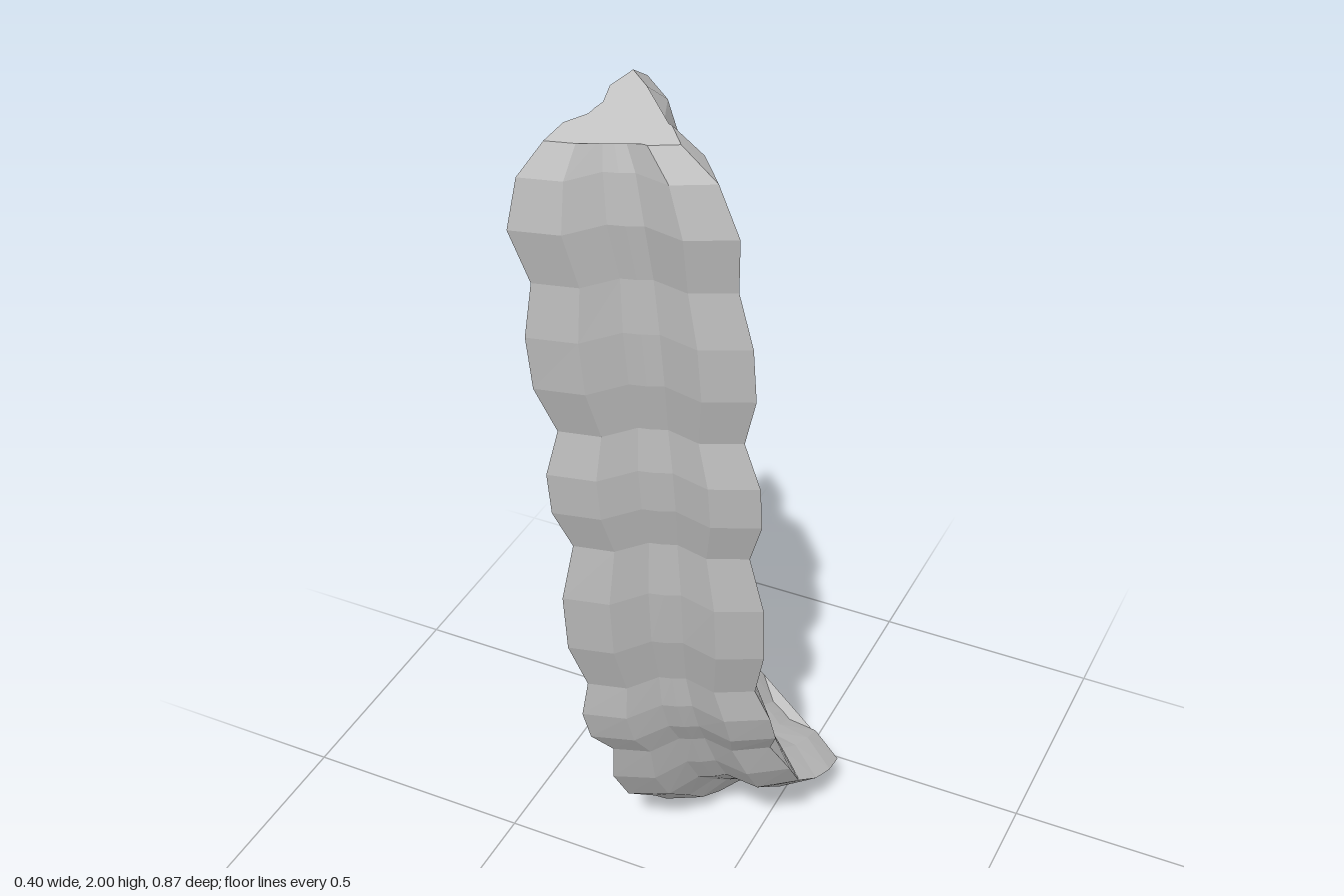
import * as THREE from 'three';

// Pinched stations along the stalk: x, y, z, lean and twist (degrees), radius
const stations = [
  [-0.066, 0.143, -0.362, 64, 2, 0.188],
  [-0.077, 0.248, -0.188, 45, 7, 0.188],
  [-0.06, 0.508, -0.014, 25, 11, 0.184],
  [-0.05, 0.744, 0.078, 19, 14, 0.187],
  [-0.022, 1.122, 0.157, 10, 15, 0.183],
  [-0.011, 1.404, 0.208, 9.5, 15, 0.183],
  [-0.006, 1.725, 0.263, 8.5, 14, 0.19],
];
// Rounded shoulder and blunt tip
const tip = [
  [-0.011, 1.835, 0.283, 9, 14, 0.208],
  [-0.014, 1.925, 0.298, 10, 14, 0.178],
  [-0.018, 1.976, 0.314, 11, 14, 0.12],
];
// Profile of one lobe, repeated three times around
const lobe = [1, 0.7, 0.41, 0.395, 0.41, 0.7];
const SIDES = lobe.length * 3;

// Two swollen rings between each pair of pinched stations
function buildRings() {
  const path = new THREE.CatmullRomCurve3(
    stations.map(s => new THREE.Vector3(s[0], s[1], s[2])));
  const rings = [];
  const last = stations.length - 1;
  for (let i = 0; i < last; i++) {
    rings.push(stations[i]);
    for (const t of [0.34, 0.68]) {
      const p = path.getPoint((i + t) / last);
      const mix = n => THREE.MathUtils.lerp(stations[i][n], stations[i + 1][n], t);
      rings.push([p.x, p.y, p.z, mix(3), mix(4), i === 0 ? 0.2 : 0.213]);
    }
  }
  return rings.concat([stations[last]], tip);
}

// Points of one ring, tipped by its lean and turned by its twist
function ringPoints([x, y, z, lean, twist, radius]) {
  const a = THREE.MathUtils.degToRad(lean);
  const start = THREE.MathUtils.degToRad(twist);
  return Array.from({ length: SIDES }, (_, j) => {
    const angle = start + (j / SIDES) * Math.PI * 2;
    const r = radius * lobe[j % lobe.length];
    const v = r * Math.sin(angle);
    return [x + r * Math.cos(angle), y - v * Math.sin(a), z + v * Math.cos(a)];
  });
}

function toGeometry(points) {
  const geometry = new THREE.BufferGeometry();
  geometry.setAttribute('position', new THREE.Float32BufferAttribute(points.flat(), 3));
  geometry.computeVertexNormals();
  return geometry;
}

// Flat end face, fanned from the tip of the first lobe so it webs the two grooves beside it
function endFace(loop, up) {
  const face = [];
  for (let j = 1; j < SIDES - 1; j++) {
    face.push(loop[0], ...(up ? [loop[j + 1], loop[j]] : [loop[j], loop[j + 1]]));
  }
  return face;
}

export function createModel() {
  const group = new THREE.Group();
  group.name = 'lobedStalk';
  const grey = new THREE.MeshStandardMaterial({ color: 0xc4c4c4, flatShading: true });
  grey.name = 'grey';

  const loops = buildRings().map(ringPoints);

  // Ribbed wall
  const wall = [];
  for (let i = 0; i < loops.length - 1; i++) {
    for (let j = 0; j < SIDES; j++) {
      const k = (j + 1) % SIDES;
      const [a, b, c, d] = [loops[i][j], loops[i][k], loops[i + 1][j], loops[i + 1][k]];
      wall.push(a, c, b, b, c, d);
    }
  }

  const parts = {
    ribbedWall: wall,
    bottomEnd: endFace(loops[0], false),
    topEnd: endFace(loops[loops.length - 1], true),
  };
  for (const [name, points] of Object.entries(parts)) {
    const mesh = new THREE.Mesh(toGeometry(points), grey);
    mesh.name = name;
    group.add(mesh);
  }
  return group;
}
